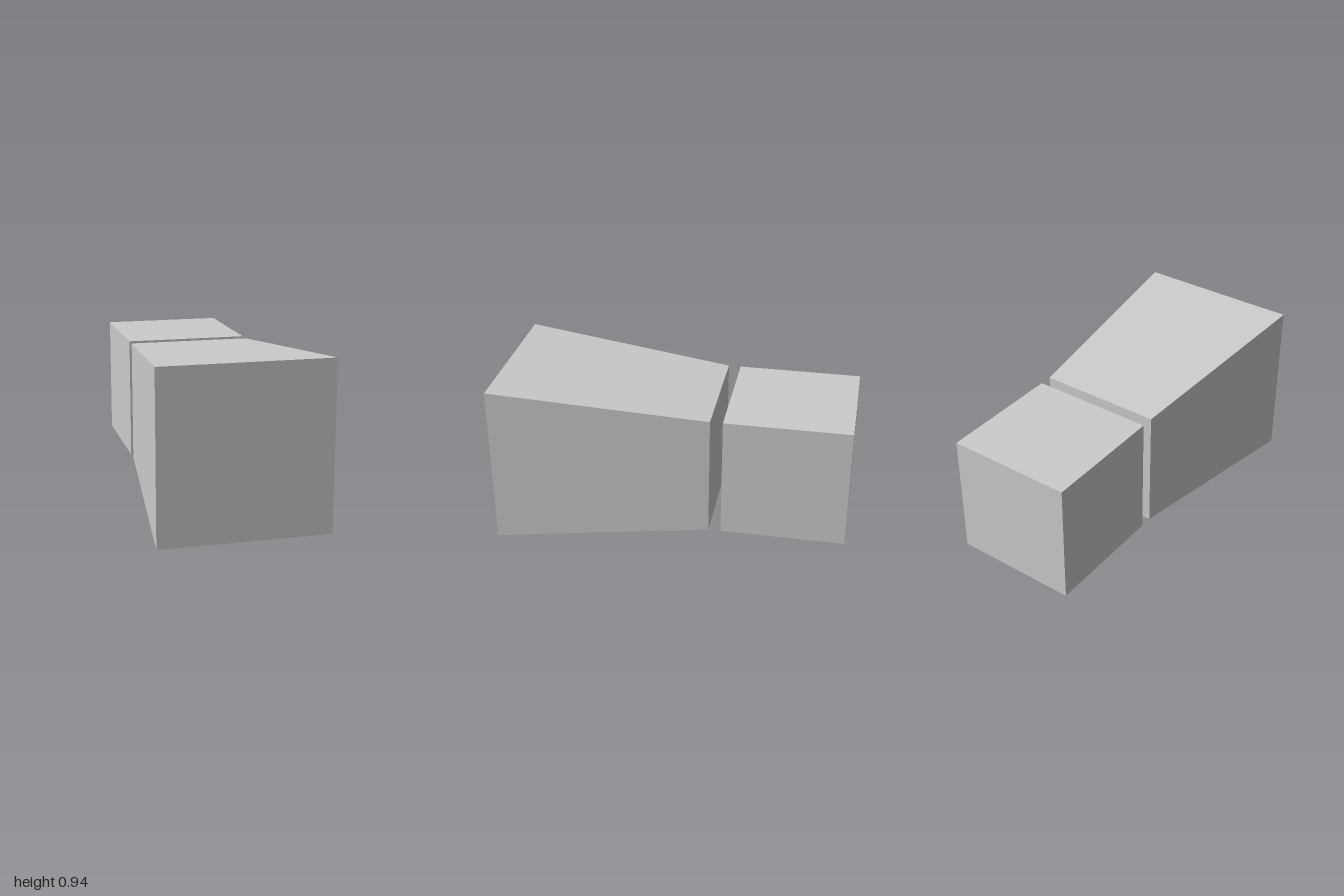
import * as THREE from 'three';

const CENTER_Y = 0.469;
const BODY = 0.703; // side of the rear cube and of the narrow end of the hood
const MOUTH = 0.937; // side of the wide front end

// Square block between two z positions, with its own side length at each end
function taperedBlock(name, zBack, zFront, backSide, frontSide) {
  const geometry = new THREE.BoxGeometry(1, 1, zFront - zBack);
  const pos = geometry.attributes.position;
  for (let i = 0; i < pos.count; i++) {
    const side = pos.getZ(i) > 0 ? frontSide : backSide;
    pos.setX(i, pos.getX(i) * side);
    pos.setY(i, pos.getY(i) * side);
  }
  geometry.computeVertexNormals();
  const material = new THREE.MeshStandardMaterial({ color: 0xcccccc, flatShading: true });
  const mesh = new THREE.Mesh(geometry, material);
  mesh.name = name;
  mesh.position.set(0, CENTER_Y, (zBack + zFront) / 2);
  return mesh;
}

export function createModel() {
  const model = new THREE.Group();
  model.name = 'camera';
  model.add(
    // Cube at the back
    taperedBlock('body', -1, -0.297, BODY, BODY),
    // Flared hood in front, separated by a narrow gap
    taperedBlock('lensHood', -0.227, 1, BODY, MOUTH),
  );
  return model;
}
